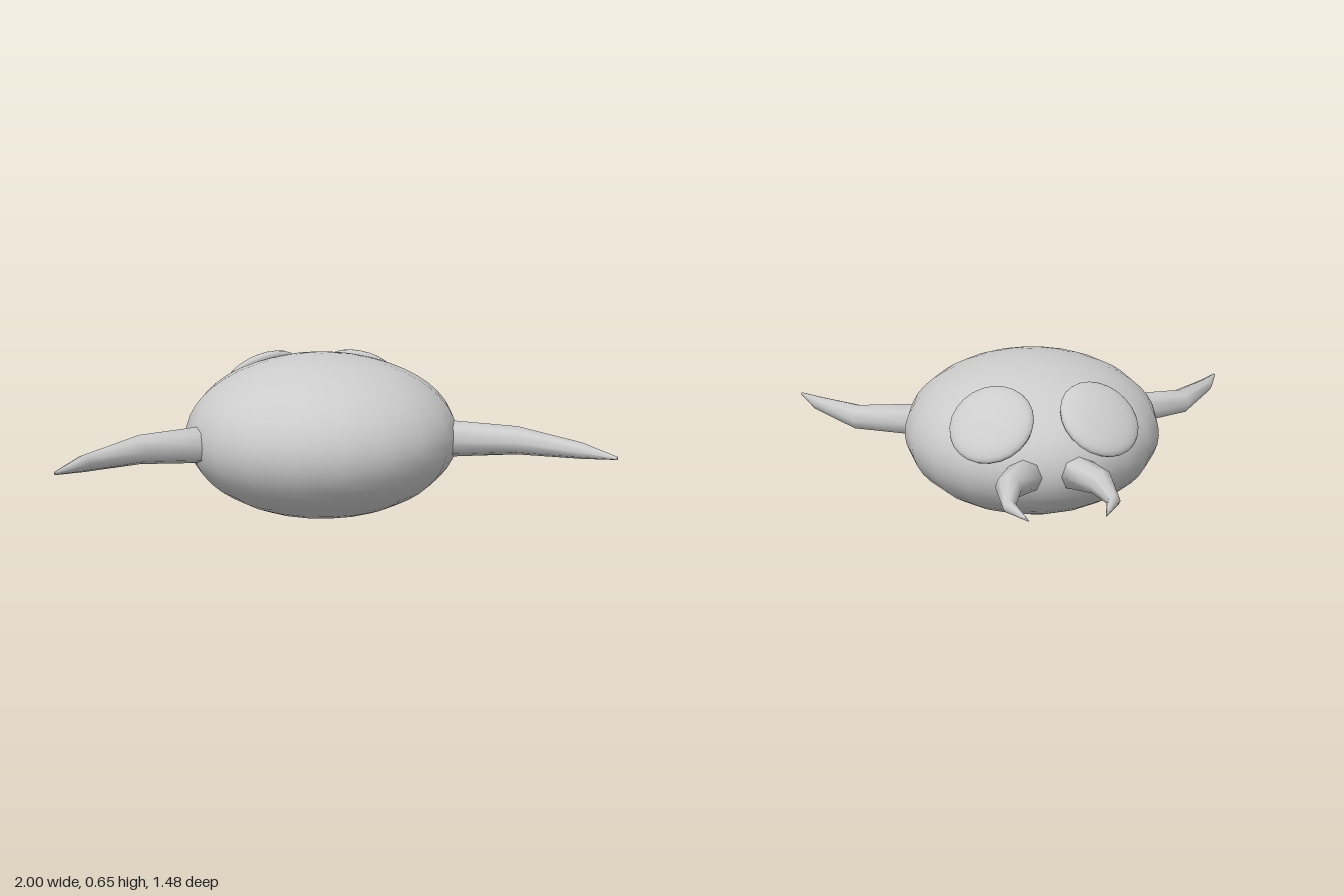
import * as THREE from 'three';

const material = new THREE.MeshStandardMaterial({ color: 0xcccccc, side: THREE.DoubleSide });
const MID_Y = 0.328;
const BODY = new THREE.Vector3(-0.014, MID_Y, 0.157);
const BODY_R = new THREE.Vector3(0.545, 0.323, 0.545);

// Tapering tube bent in the horizontal plane; stations are [x, z, radius]
function bentSpike(stations, sides = 8) {
  const pos = [], index = [];
  const pts = stations.map(([x, z]) => new THREE.Vector3(x, 0, z));
  const n = pts.length;
  stations.forEach(([, , r], i) => {
    const dirIn = pts[Math.max(i, 1)].clone().sub(pts[Math.max(i, 1) - 1]).normalize();
    const j = Math.min(i, n - 2);
    const dirOut = pts[j + 1].clone().sub(pts[j]).normalize();
    const t = dirIn.add(dirOut).normalize();
    for (let k = 0; k < sides; k++) {
      const a = (k / sides) * Math.PI * 2;
      const c = r * Math.cos(a);
      pos.push(pts[i].x - t.z * c, MID_Y + r * Math.sin(a), pts[i].z + t.x * c);
      if (i < n - 1) {
        const p = i * sides + k, q = i * sides + ((k + 1) % sides);
        index.push(p, q, p + sides, q, q + sides, p + sides);
      }
    }
  });
  // Close the hidden base and the tip
  for (let k = 1; k < sides - 1; k++) {
    const e = (n - 1) * sides;
    index.push(0, k + 1, k, e, e + k, e + k + 1);
  }
  const g = new THREE.BufferGeometry();
  g.setAttribute('position', new THREE.Float32BufferAttribute(pos, 3));
  // Winding follows the ring direction, so flip it to face outward
  for (let i = 0; i < index.length; i += 3) {
    [index[i + 1], index[i + 2]] = [index[i + 2], index[i + 1]];
  }
  if (signedVolume(pos, index) < 0) index.reverse();
  g.setIndex(index);
  g.computeVertexNormals();
  return g;
}

// Positive when the faces point outward
function signedVolume(pos, index) {
  const v = (i) => new THREE.Vector3().fromArray(pos, index[i] * 3);
  let sum = 0;
  for (let i = 0; i < index.length; i += 3) sum += v(i).dot(v(i + 1).cross(v(i + 2)));
  return sum;
}

export function createModel() {
  const group = new THREE.Group();
  const add = (name, geometry) => {
    const mesh = new THREE.Mesh(geometry, material);
    mesh.name = name;
    group.add(mesh);
    return mesh;
  };

  // Squashed round body
  const body = add('body', new THREE.SphereGeometry(1, 20, 24));
  body.scale.copy(BODY_R);
  body.position.copy(BODY);

  for (const s of [1, -1]) {
    const side = s > 0 ? 'left' : 'right';
    const mirror = (stations, mid) => stations.map(([x, z, r]) => [mid + s * x, z, r]);

    // Flat oval eye lying on the body surface
    const eye = add(side + 'Eye', new THREE.SphereGeometry(1, 24, 16));
    eye.scale.set(0.17, 0.05, 0.17);
    eye.position.set(BODY.x + s * 0.214, 0.507, -0.242);
    const normal = eye.position.clone().sub(BODY).divide(BODY_R).divide(BODY_R).normalize();
    eye.quaternion.setFromUnitVectors(new THREE.Vector3(0, 1, 0), normal);

    // Curved pincer
    add(side + 'Pincer', bentSpike(mirror([
      [0.09, -0.33, 0.075], [0.178, -0.453, 0.052], [0.193, -0.617, 0.025], [0.14, -0.74, 0.002],
    ], -0.018)));

    // Bent arm tapering to a point
    add(side + 'Arm', bentSpike(mirror([
      [0.43, 0.31, 0.076], [0.727, 0.387, 0.056], [0.913, 0.597, 0.031], [0.994, 0.735, 0.006],
    ], -0.002)));
  }
  return group;
}
